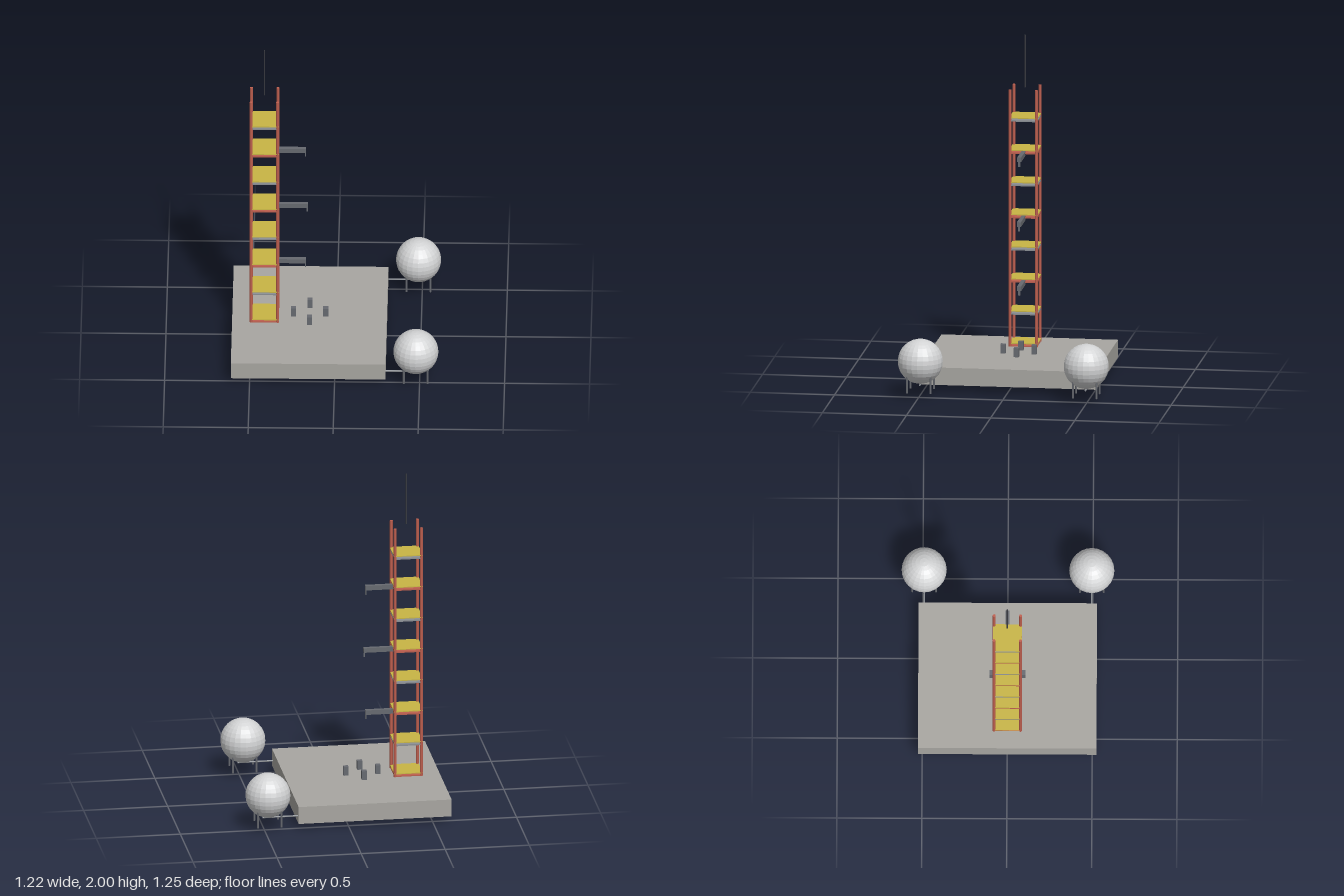
import * as THREE from 'three';

const mat = (name, color) => {
  const m = new THREE.MeshStandardMaterial({ color });
  m.name = name;
  return m;
};

export function createModel() {
  const concrete = mat('concrete', 0xa8a6a1);
  const red = mat('tower red', 0xbf5f4f);
  const yellow = mat('floor yellow', 0xc8b545);
  const steel = mat('plate grey', 0x8d9196);
  const dark = mat('dark steel', 0x676a70);
  const pit = mat('deflector grey', 0x54585c);
  const black = mat('mast black', 0x3a3c42);
  const white = mat('tank white', 0xd2d3d4);

  const root = new THREE.Group();
  root.name = 'launchPad';

  const add = (parent, name, geometry, material, x, y, z) => {
    const mesh = new THREE.Mesh(geometry, material);
    mesh.name = name;
    mesh.position.set(x, y, z);
    parent.add(mesh);
    return mesh;
  };
  const group = (name, x = 0, y = 0, z = 0) => {
    const g = new THREE.Group();
    g.name = name;
    g.position.set(x, y, z);
    root.add(g);
    return g;
  };
  const box = (w, h, d) => new THREE.BoxGeometry(w, h, d);
  const rod = (r, h, n = 8) => new THREE.CylinderGeometry(r, r, h, n);
  const flat = (geometry) => {
    const g = geometry.toNonIndexed();
    g.computeVertexNormals();
    return g;
  };

  // Pad slab
  add(root, 'padSlab', box(0.91, 0.105, 1.05), concrete, -0.155, 0.0875, 0);

  // Flame deflector: a four-sided frustum, stretched along one diagonal
  const frustum = new THREE.CylinderGeometry(0.77, 1, 0.035, 4);
  frustum.scale(0.19, 1, 0.368);
  frustum.rotateY(-Math.PI / 4);
  add(root, 'flameDeflector', flat(frustum), pit, -0.155, 0.0175, 0);

  // Hold-down posts in a diamond
  for (const [x, z] of [[-0.25, 0], [-0.06, 0], [-0.155, 0.092], [-0.155, -0.092]]) {
    add(root, 'holdDownPost', box(0.03, 0.055, 0.03), dark, x, 0.167, z);
  }

  // Service tower: corner columns
  const tower = group('serviceTower', -0.42);
  for (const sx of [-1, 1]) {
    for (const sz of [-1, 1]) {
      add(tower, 'column', rod(0.009, 1.545), red, sx * 0.078, 0.9125, sz * 0.078);
    }
  }

  // Floors: a walkway above a support plate, plate colour alternating
  for (let i = 0; i < 8; i++) {
    const y = 0.142 + i * 0.1937;
    add(tower, 'supportPlate', box(0.165, 0.009, 0.165), i % 2 ? steel : red, 0, y, 0);
    add(tower, 'walkway', box(0.17, 0.005, 0.17), yellow, 0, y + 0.017, 0);
  }

  // Lightning mast
  add(tower, 'mast', rod(0.004, 0.315), black, 0, 1.8425, 0);

  // Swing arms with a hanging tip
  for (const [y, length] of [[0.525, 0.18], [0.913, 0.19], [1.301, 0.18]]) {
    const arm = group('swingArm', -0.355, y, 0);
    add(arm, 'armBeam', box(length, 0.028, 0.024), dark, length / 2, 0, 0);
    add(arm, 'armTip', box(0.007, 0.045, 0.012), dark, length - 0.0035, -0.02, 0);
  }

  // Spherical tanks with four legs and a feed pipe
  for (const side of [-1, 1]) {
    const tank = group('storageTank', 0.478, 0, side * 0.493);
    add(tank, 'tankSphere', flat(new THREE.SphereGeometry(0.133, 24, 16)), white, 0, 0.214, 0);
    for (const sx of [-1, 1]) {
      for (const sz of [-1, 1]) {
        add(tank, 'tankLeg', rod(0.006, 0.105), dark, sx * 0.07, 0.0865, sz * 0.07);
      }
    }
    const pipe = add(tank, 'feedPipe', rod(0.005, 0.22), steel, -0.078, 0.075, 0);
    pipe.rotation.z = Math.PI / 2;
  }

  return root;
}
